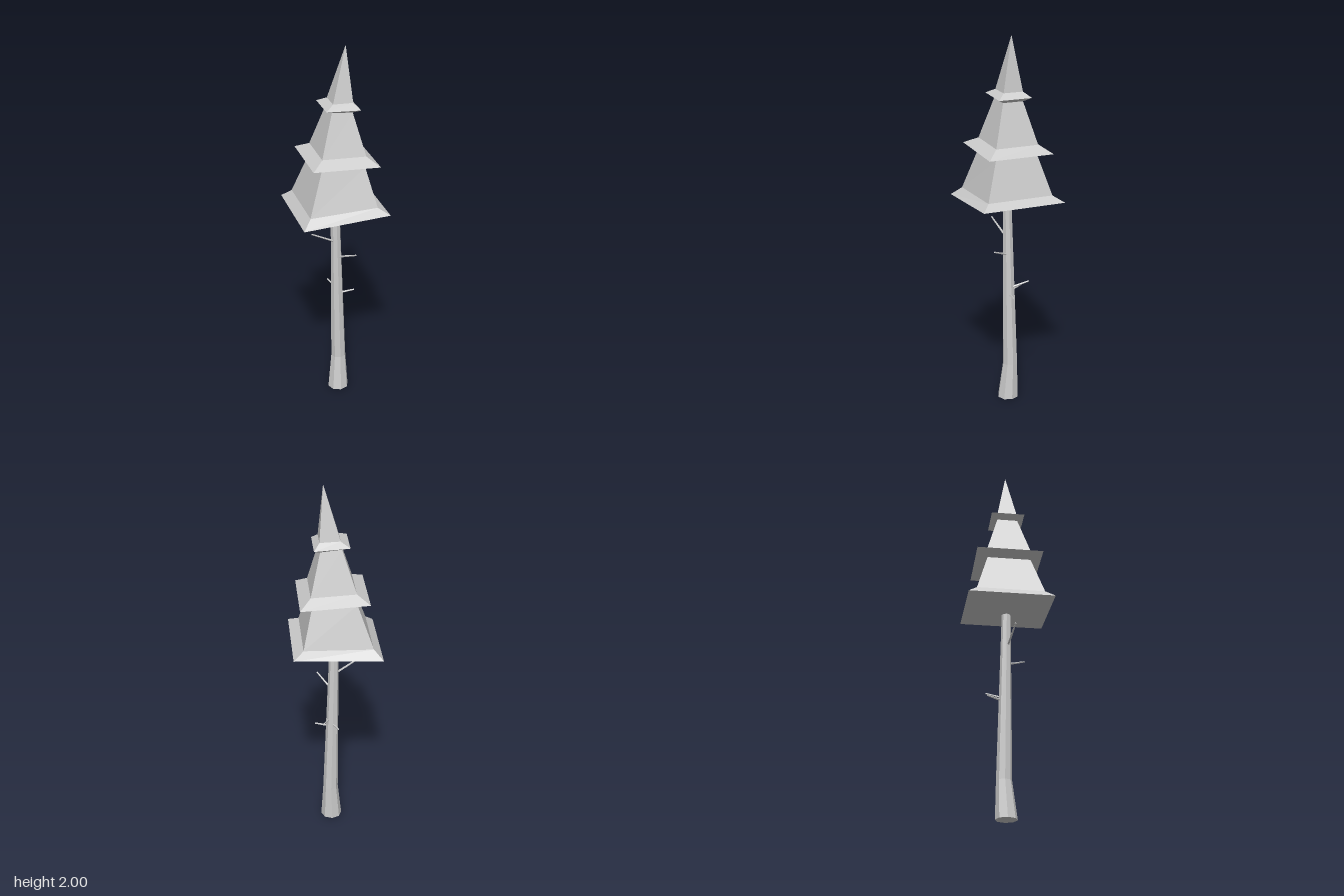
import * as THREE from 'three';

const material = new THREE.MeshStandardMaterial({ color: 0xcccccc, flatShading: true });

// Joins closed rings of points (counterclockwise from above, bottom to top) into a faceted surface.
function loft(rings, name) {
  const pos = [];
  const tri = (a, b, c) => {
    if (a.equals(b) || b.equals(c) || a.equals(c)) return;
    pos.push(...a.toArray(), ...b.toArray(), ...c.toArray());
  };
  for (let i = 0; i + 1 < rings.length; i++) {
    const low = rings[i], up = rings[i + 1], n = low.length;
    for (let j = 0; j < n; j++) {
      const k = (j + 1) % n;
      tri(low[j], low[k], up[k]);
      tri(low[j], up[k], up[j]);
    }
  }
  const geometry = new THREE.BufferGeometry();
  geometry.setAttribute('position', new THREE.Float32BufferAttribute(pos, 3));
  geometry.computeVertexNormals();
  const mesh = new THREE.Mesh(geometry, material);
  mesh.name = name;
  return mesh;
}

// Square ring, tilted along x: left edge, its height, right edge, its height, half depth
const squareRing = ([x0, y0, x1, y1, d]) => [
  new THREE.Vector3(x0, y0, -d), new THREE.Vector3(x0, y0, d),
  new THREE.Vector3(x1, y1, d), new THREE.Vector3(x1, y1, -d),
];

// Octagonal ring: centre and radius
const roundRing = ([x, y, z, r]) => Array.from({ length: 8 }, (_, i) => {
  const a = i * Math.PI / 4;
  return new THREE.Vector3(x + r * Math.cos(a), y, z - r * Math.sin(a));
});

// Thin tapered twig between two points
function twig(from, to) {
  const a = new THREE.Vector3(...from), b = new THREE.Vector3(...to);
  const mesh = new THREE.Mesh(new THREE.CylinderGeometry(0.004, 0.006, a.distanceTo(b), 5), material);
  mesh.position.copy(a).lerp(b, 0.5);
  mesh.quaternion.setFromUnitVectors(new THREE.Vector3(0, 1, 0), b.sub(a).normalize());
  return mesh;
}

export function createModel() {
  const tree = new THREE.Group();
  tree.name = 'pineTree';

  // Trunk, flared at the foot and leaning slightly
  tree.add(loft([
    [0.018, 0, 0.002, 0],
    [0.018, 0, 0.002, 0.057],
    [0.023, 0.2, -0.009, 0.041],
    [0.001, 1.13, -0.001, 0.024],
  ].map(roundRing), 'trunk'));

  // Foliage: three tiers with flared skirts, leaning to a pointed top
  tree.add(loft([
    [0, 1.105, 0, 1.105, 0],
    [-0.23, 1.125, 0.228, 1.15, 0.226],
    [-0.184, 1.17, 0.174, 1.18, 0.179],
    [-0.105, 1.395, 0.125, 1.385, 0.116],
    [-0.165, 1.42, 0.188, 1.403, 0.177],
    [-0.102, 1.455, 0.13, 1.445, 0.116],
    [-0.033, 1.675, 0.076, 1.665, 0.055],
    [-0.071, 1.695, 0.109, 1.685, 0.09],
    [-0.026, 1.718, 0.079, 1.715, 0.053],
    [0.055, 2, 0.055, 2, 0],
  ].map(squareRing), 'foliage'));

  // Bare twigs on the trunk
  const twigs = new THREE.Group();
  twigs.name = 'twigs';
  [
    [[0, 0.925, 0.005], [-0.135, 1, 0.03]],
    [[0.015, 0.83, 0.005], [0.084, 0.88, 0.107]],
    [[0.035, 0.65, -0.02], [0.064, 0.68, -0.1]],
    [[0.03, 0.602, -0.002], [0.106, 0.614, 0.01]],
    [[0.012, 0.625, -0.025], [-0.012, 0.64, -0.1]],
  ].forEach(([from, to], i) => {
    const t = twig(from, to);
    t.name = `twig${i + 1}`;
    twigs.add(t);
  });
  tree.add(twigs);
  return tree;
}
